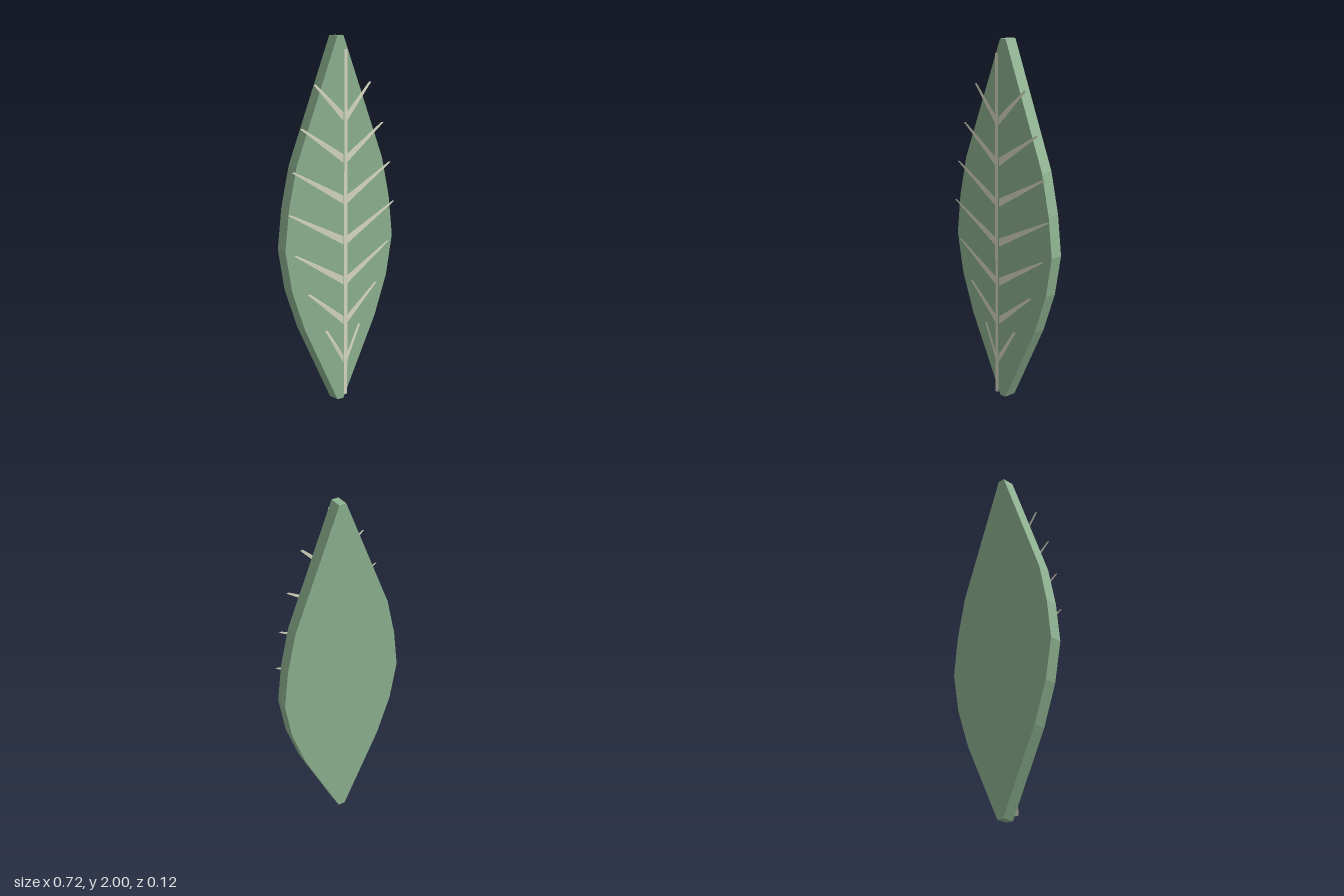
import * as THREE from 'three';

const leafMat = new THREE.MeshStandardMaterial({ color: 0x8fb592, flatShading: true });
const veinMat = new THREE.MeshStandardMaterial({ color: 0xdadcc4, flatShading: true, side: THREE.DoubleSide });

// Right half of the outline, bottom to top: [x, y]
const OUTLINE = [[0.02, 0], [0.24, 0.444], [0.32, 0.667], [0.36, 0.889],
  [0.335, 1.111], [0.285, 1.333], [0.02, 2]];

// Side veins: [tip x, tip y, base y]
const VEINS = [[0.12, 0.42, 0.222], [0.235, 0.642, 0.444], [0.32, 0.865, 0.667], [0.357, 1.087, 0.889],
  [0.33, 1.309, 1.111], [0.277, 1.531, 1.333], [0.19, 1.754, 1.555]];

// Flat four-cornered strip, corners counter-clockwise from the front
function quad(corners) {
  const g = new THREE.BufferGeometry();
  g.setAttribute('position', new THREE.Float32BufferAttribute(corners.flat(), 3));
  g.setIndex([0, 1, 2, 0, 2, 3]);
  g.computeVertexNormals();
  return g;
}

export function createModel() {
  const group = new THREE.Group();
  group.name = 'leaf';
  const add = (name, geometry, material) => {
    const mesh = new THREE.Mesh(geometry, material);
    mesh.name = name;
    group.add(mesh);
  };

  // Thick blade
  const left = OUTLINE.map(([x, y]) => [-x, y]).reverse();
  const shape = new THREE.Shape([...OUTLINE, ...left].map(([x, y]) => new THREE.Vector2(x, y)));
  const blade = new THREE.ExtrudeGeometry(shape, { depth: 0.072, bevelEnabled: false });
  blade.translate(0, 0, -0.06);
  add('blade', blade, leafMat);

  // Thin central rib floating in front of the blade
  add('midrib', quad([[-0.011, 0.042, 0.06], [0.011, 0.042, 0.06],
    [0.011, 1.93, 0.06], [-0.011, 1.93, 0.06]]), veinMat);

  // Tapering side veins, leaning back toward their tips
  VEINS.forEach(([x, y, base], i) => {
    for (const s of [1, -1]) {
      const corners = [[s * 0.011, base, 0.054], [s * x, y - 0.002, 0.034],
        [s * (x - 0.015), y, 0.034], [s * 0.011, base + 0.046, 0.054]];
      if (s < 0) corners.reverse();
      add(`${s > 0 ? 'left' : 'right'}Vein${i + 1}`, quad(corners), veinMat);
    }
  });

  return group;
}
